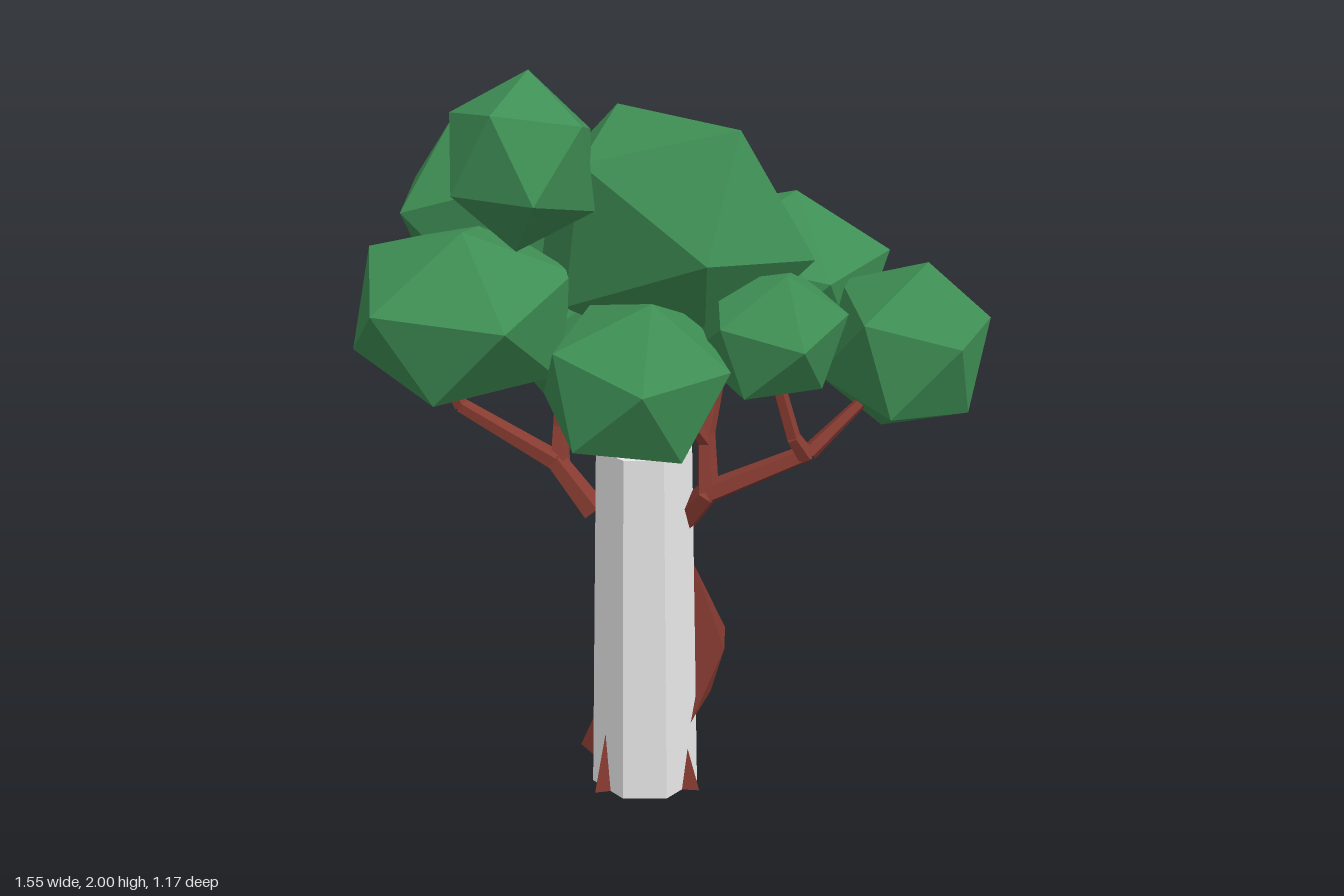
import * as THREE from 'three';
import { ConvexGeometry } from 'three/addons/geometries/ConvexGeometry.js';

const V = (p) => new THREE.Vector3(...p);
const PHI = (1 + Math.sqrt(5)) / 2;

export function createModel() {
  const tree = new THREE.Group();
  tree.name = 'tree';

  const material = (name, color) => {
    const m = new THREE.MeshStandardMaterial({ color, flatShading: true });
    m.name = name;
    return m;
  };
  const leafGreen = material('leafGreen', 0x3f8f55);
  const barkBrown = material('barkBrown', 0x873b31);
  const trunkGrey = material('trunkGrey', 0xe6e6e6);

  const add = (name, geometry, mat, parent = tree) => {
    const mesh = new THREE.Mesh(geometry, mat);
    mesh.name = name;
    parent.add(mesh);
    return mesh;
  };

  // Octagonal trunk, slightly tapered
  add('trunk', new THREE.CylinderGeometry(0.138, 0.163, 1.03, 8), trunkGrey)
    .position.set(-0.065, 0.515, 0.11);

  // Foliage clump: stretched icosahedron turned so one edge runs from a to b
  const clump = (name, centre, radii, a, b) => {
    const s = V(radii);
    const ua = V(a).divide(s).normalize();
    const ub = V(b).divide(s).normalize();
    const x = ub.clone().sub(ua).normalize();
    const y = ub.clone().add(ua).normalize();
    const z = x.clone().cross(y);
    const geometry = new THREE.IcosahedronGeometry(1, 0);
    geometry.applyMatrix4(new THREE.Matrix4().makeBasis(x, y, z));
    geometry.scale(...radii);
    geometry.translate(...centre);
    add(name, geometry, leafGreen);
  };
  clump('leftFoliage', [-0.485, 1.38, -0.12], [0.325, 0.26, 0.31], [-0.03, 0.24, 0.03], [0.03, -0.05, 0.28]);
  clump('backLeftFoliage', [-0.33, 1.59, -0.36], [0.27, 0.265, 0.25], [0.1, -0.12, -0.22], [-0.17, 0.08, -0.16]);
  clump('topFoliage', [-0.34, 1.78, -0.02], [0.21, 0.225, 0.24], [0.05, 0.215, -0.05], [-0.15, 0.14, 0.17]);
  clump('rightFoliage', [0.36, 1.41, -0.01], [0.345, 0.265, 0.32], [0.055, 0.25, 0.08], [0.31, 0.1, 0.12]);
  clump('frontRightFoliage', [0.575, 1.295, 0.35], [0.235, 0.245, 0.24], [0.02, 0.235, 0.04], [0.02, 0.04, 0.23]);
  clump('frontFoliage', [0.205, 1.36, 0.3], [0.21, 0.19, 0.19], [0, 0.17, 0.07], [0, -0.01, 0.185]);
  clump('frontLeftFoliage', [-0.155, 1.265, 0.275], [0.26, 0.235, 0.24], [0.03, 0.22, 0.03], [-0.08, 0, 0.23]);
  clump('backFoliage', [-0.09, 1.26, -0.28], [0.29, 0.235, 0.255], [-0.02, 0.1, -0.22], [0.02, -0.14, -0.22]);

  // Central clump: skewed icosahedron spanned by corner a and two of its neighbours
  const [a, b, c] = [[0.1, 0.305, 0.27], [-0.04, 0.005, 0.39], [-0.05, 0.315, -0.18]].map(V);
  const corners = [
    a, b, c,
    b.clone().add(c).multiplyScalar(PHI).sub(a),
    a.clone().sub(b).multiplyScalar(PHI).sub(c),
    a.clone().sub(c).multiplyScalar(PHI).sub(b),
  ];
  add('centreFoliage', new ConvexGeometry([...corners, ...corners.map((p) => p.clone().negate())]), leafGreen)
    .position.set(0.035, 1.565, -0.02);

  // Five-sided tapered limbs: each path is a chain of points with radii
  const branch = (name, paths) => {
    const group = new THREE.Group();
    group.name = name;
    tree.add(group);
    for (const path of paths) {
      for (let i = 1; i < path.length; i++) {
        const [p, q] = [V(path[i - 1]), V(path[i])];
        const d = q.clone().sub(p);
        const geometry = new THREE.CylinderGeometry(path[i][3], path[i - 1][3], d.length(), 5);
        const limb = add('limb', geometry, barkBrown, group);
        limb.position.copy(p).add(q).multiplyScalar(0.5);
        limb.quaternion.setFromUnitVectors(new THREE.Vector3(0, 1, 0), d.normalize());
      }
    }
  };
  branch('frontBranch', [
    [[0.02, 0.81, 0.17, 0.042], [0.06, 0.92, 0.25, 0.032], [0.3, 1.04, 0.36, 0.024], [0.45, 1.17, 0.37, 0.016]],
    [[0.29, 1.03, 0.36, 0.026], [0.25, 1.09, 0.36, 0.02], [0.21, 1.24, 0.34, 0.018]],
    [[0.06, 0.92, 0.25, 0.03], [0.075, 1.07, 0.2, 0.025], [0.13, 1.24, 0.16, 0.02]],
    [[0.07, 1.05, 0.21, 0.022], [0.01, 1.13, 0.23, 0.012]],
  ]);
  branch('backBranch', [
    [[-0.17, 0.8, 0, 0.038], [-0.25, 0.93, -0.09, 0.03], [-0.47, 1.07, -0.25, 0.022], [-0.53, 1.21, -0.27, 0.016]],
    [[-0.24, 0.92, -0.09, 0.03], [-0.225, 1.02, -0.12, 0.024], [-0.21, 1.2, -0.13, 0.02]],
  ]);

  // Angular growth on the side of the trunk
  add('burl', new ConvexGeometry([
    [0.08, 0.64, 0.13], [0.06, 0.72, 0.01], [0.05, 0.67, -0.01], [0.12, 0.43, 0.245],
    [0.19, 0.41, 0.1], [0.14, 0.37, 0.05], [0.13, 0.26, 0.08], [0.11, 0.26, 0.18],
    [0.025, 0.2, 0.23], [0.07, 0.2, 0.06], [0, 0.45, 0.1],
  ].map(V)), barkBrown);

  // Small root spikes around the foot: position, height, base radius
  const roots = [
    [-0.2, 0, 0.155, 0.2, 0.046], [0.01, 0, 0.23, 0.15, 0.05],
    [0.06, 0.025, 0.03, 0.14, 0.058], [-0.17, 0.025, 0, 0.14, 0.058],
  ];
  for (const [x, y, z, height, radius] of roots) {
    const geometry = new THREE.ConeGeometry(radius, height, 3);
    geometry.translate(0, height / 2, 0);
    const root = add('root', geometry, barkBrown);
    root.position.set(x, y, z);
    root.rotation.y = Math.atan2(x + 0.065, z - 0.11);
  }

  return tree;
}
